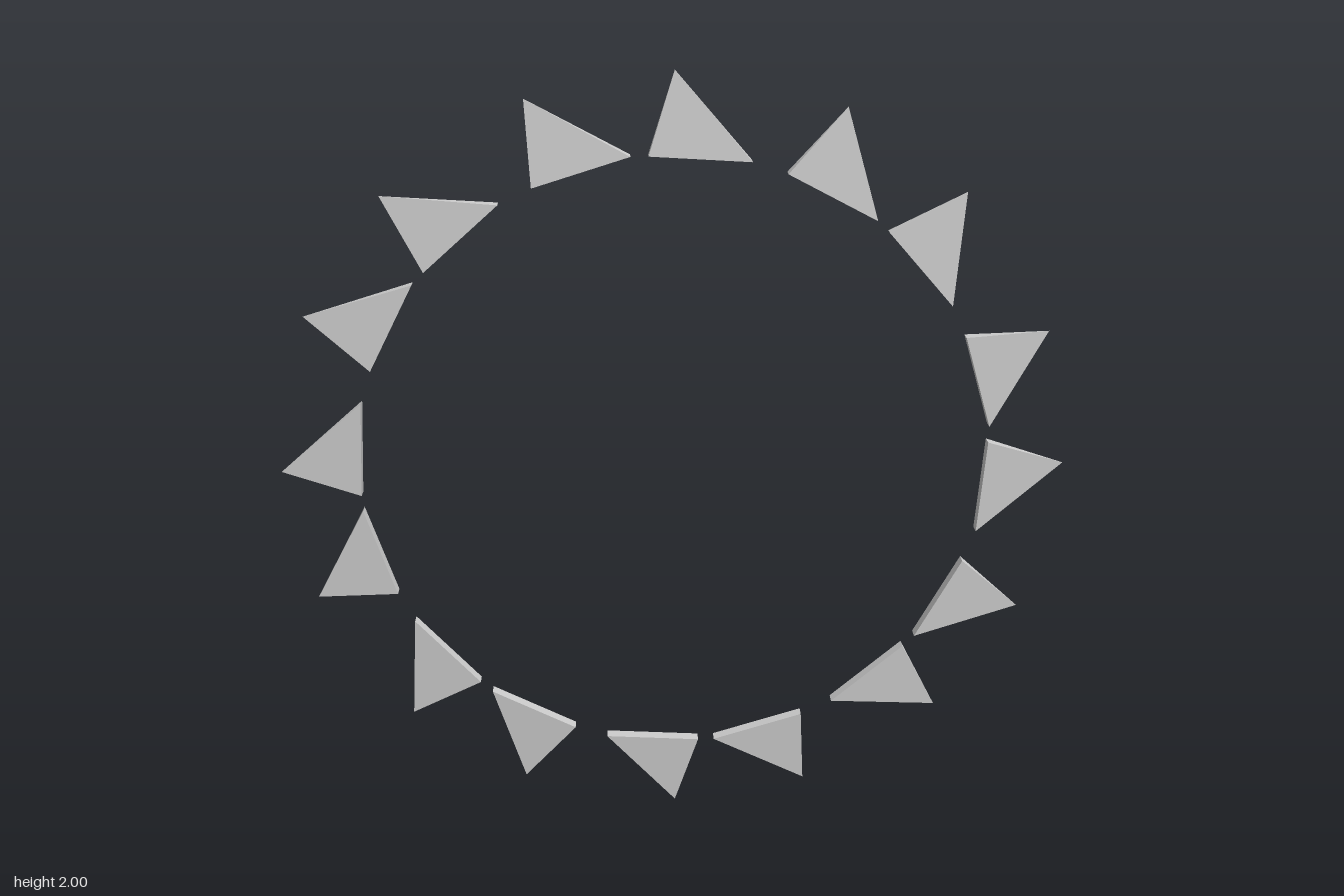
import * as THREE from 'three';

const T = 0.015; // half thickness at the tooth root

// Flat skewed wedge: a sharp tip widening to a thin rectangular root
function toothGeometry() {
  const tip = [0, 1, 0];
  const left = [-0.063, 0.8], right = [0.185, 0.785];
  const g = new THREE.BufferGeometry();
  g.setAttribute('position', new THREE.Float32BufferAttribute([
    ...tip, ...left, T, ...right, T, ...left, -T, ...right, -T,
  ], 3));
  g.setIndex([
    0, 1, 2, // front
    0, 4, 3, // back
    0, 3, 1, // leading side
    0, 2, 4, // trailing side
    1, 3, 4, 1, 4, 2, // root
  ]);
  const flat = g.toNonIndexed();
  flat.computeVertexNormals();
  return flat;
}

export function createModel() {
  const group = new THREE.Group();
  group.name = 'toothRing';
  const material = new THREE.MeshStandardMaterial({ color: 0xcccccc, flatShading: true });
  const geometry = toothGeometry();

  // Eight pairs of teeth, the second of each pair slightly past the half step
  for (let i = 0; i < 8; i++) {
    for (const offset of [0, 24.2]) {
      const tooth = new THREE.Mesh(geometry, material);
      tooth.name = offset ? 'secondTooth' : 'firstTooth';
      tooth.position.y = 1;
      tooth.rotation.z = -THREE.MathUtils.degToRad(i * 45 + offset);
      group.add(tooth);
    }
  }
  return group;
}
